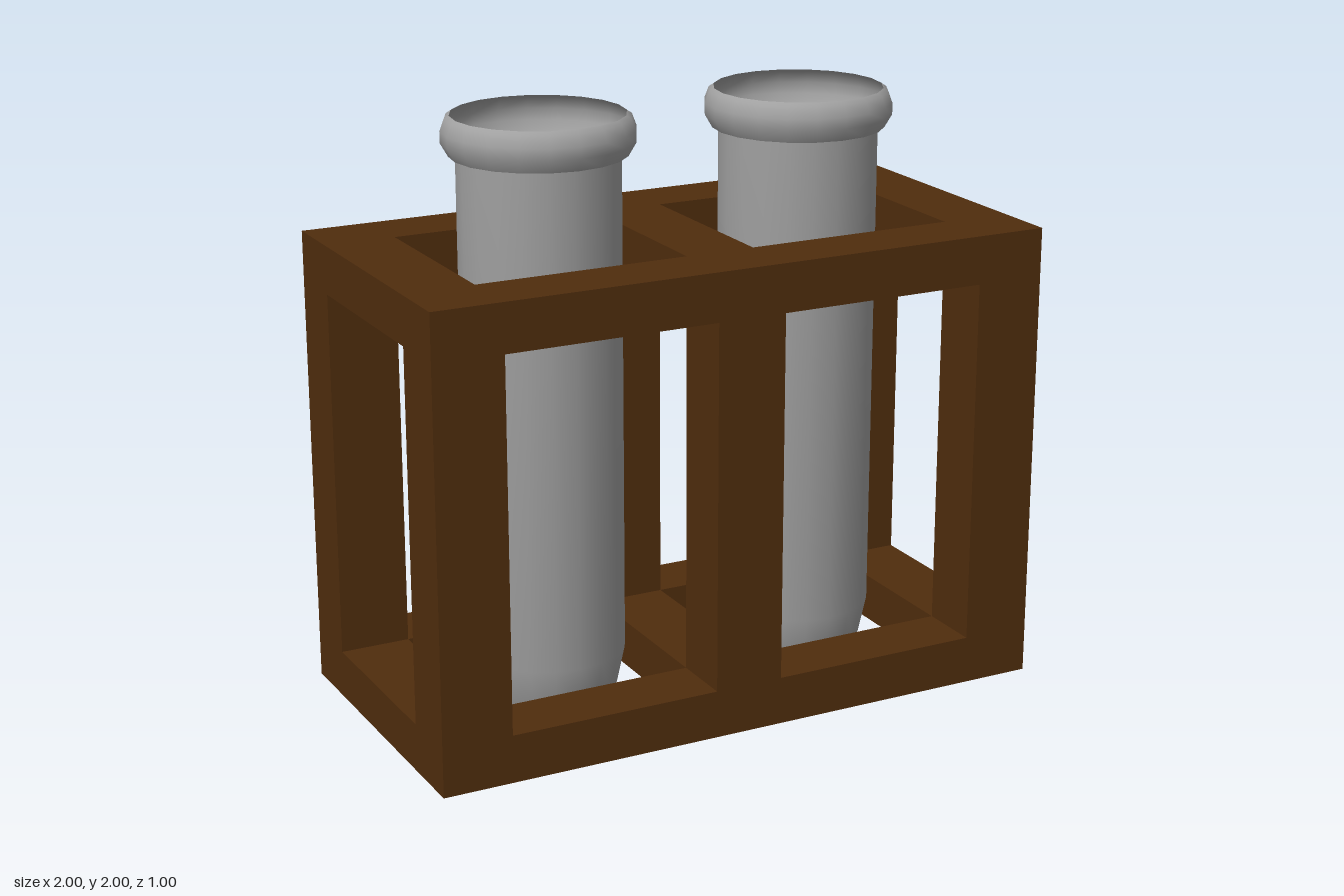
import * as THREE from 'three';
import { toCreasedNormals } from 'three/addons/utils/BufferGeometryUtils.js';

const BOTTOM = 0.15, TOP = 1.6;      // rack height range
const HOLE_BOTTOM = 0.3, HOLE_TOP = 1.45;
const POST = 0.22, DEPTH = 0.2;      // post width and panel depth

function rectangle(path, x0, y0, x1, y1) {
  path.moveTo(x0, y0);
  path.lineTo(x1, y0);
  path.lineTo(x1, y1);
  path.lineTo(x0, y1);
  path.closePath();
  return path;
}

export function createModel() {
  const wood = new THREE.MeshStandardMaterial({ color: 0x502d0d });
  wood.name = 'brown wood';
  const glass = new THREE.MeshStandardMaterial({ color: 0xa0a0a0, side: THREE.DoubleSide });
  glass.name = 'grey glass';

  const model = new THREE.Group();
  model.name = 'testTubeRack';
  const add = (name, geometry, material, x, y, z) => {
    const mesh = new THREE.Mesh(geometry, material);
    mesh.name = name;
    mesh.position.set(x, y, z);
    model.add(mesh);
  };

  // Front and back panels, each with two windows
  const outline = rectangle(new THREE.Shape(), -1, BOTTOM, 1, TOP);
  outline.holes.push(
    rectangle(new THREE.Path(), -1 + POST, HOLE_BOTTOM, -POST / 2, HOLE_TOP),
    rectangle(new THREE.Path(), POST / 2, HOLE_BOTTOM, 1 - POST, HOLE_TOP)
  );
  const panel = new THREE.ExtrudeGeometry(outline, { depth: DEPTH, bevelEnabled: false });
  add('frontPanel', panel, wood, 0, 0, 0.3);
  add('backPanel', panel, wood, 0, 0, -0.5);

  // Cross rails joining the panels at the ends and the middle
  const rail = new THREE.BoxGeometry(POST, 0.15, 0.6);
  for (const x of [-1 + POST / 2, 0, 1 - POST / 2]) {
    add('lowerCrossRail', rail, wood, x, (BOTTOM + HOLE_BOTTOM) / 2, 0);
    add('upperCrossRail', rail, wood, x, (HOLE_TOP + TOP) / 2, 0);
  }

  // Thin-walled tubes with a rounded bottom and a flared, hollow lip
  const profile = [
    [0, 0], [0.1, 0.035], [0.17, 0.11], [0.22, 0.22], [0.245, 0.34], [0.245, 1.88],
    [0.265, 1.88], [0.288, 1.92], [0.288, 1.955], [0.275, 1.99], [0.26, 2]
  ].map(([r, y]) => new THREE.Vector2(r, y));
  const tube = toCreasedNormals(new THREE.LatheGeometry(profile, 20), 0.75);
  add('rightTestTube', tube, glass, -0.44, 0, 0);
  add('leftTestTube', tube, glass, 0.43, 0, 0);

  return model;
}
